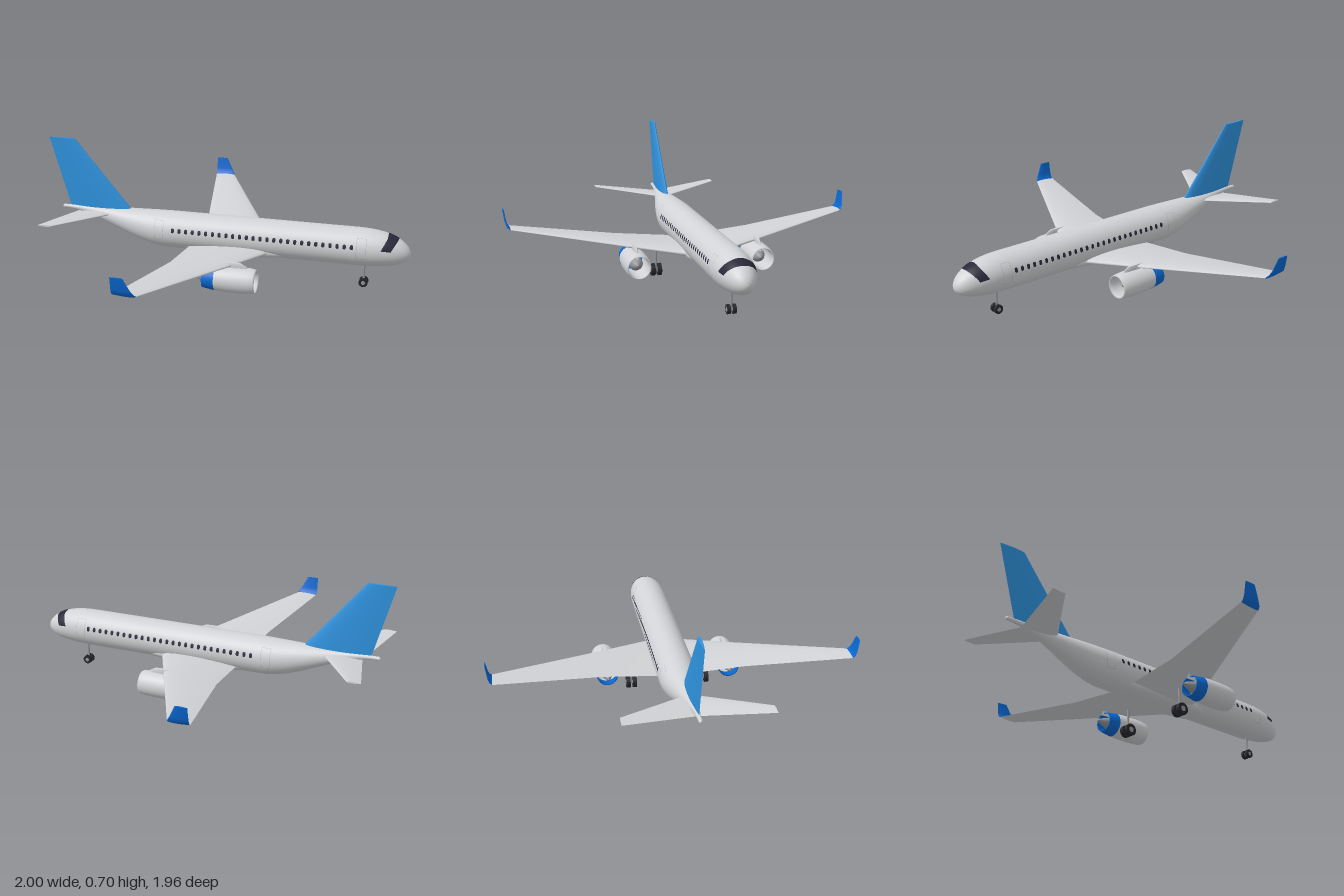
import * as THREE from 'three';
import { mergeGeometries } from 'three/addons/utils/BufferGeometryUtils.js';

const mat = (name, color, side = THREE.FrontSide) => {
  const m = new THREE.MeshStandardMaterial({ color, side });
  m.name = name;
  return m;
};

// Surface from a rule fn(u, v) -> [x, y, z]; it faces along du x dv
function grid(nu, nv, fn, flip = false) {
  const pos = [], idx = [];
  for (let i = 0; i <= nu; i++)
    for (let j = 0; j <= nv; j++) pos.push(...fn(i / nu, j / nv));
  for (let i = 0; i < nu; i++)
    for (let j = 0; j < nv; j++) {
      const a = i * (nv + 1) + j, b = a + nv + 1;
      if (flip) idx.push(a, b + 1, b, a, a + 1, b + 1);
      else idx.push(a, b, b + 1, a, b + 1, a + 1);
    }
  const g = new THREE.BufferGeometry();
  g.setAttribute('position', new THREE.Float32BufferAttribute(pos, 3));
  g.setIndex(idx);
  g.computeVertexNormals();
  return g;
}

// Fuselage rule: radius and centre height along x
function bodyAt(x) {
  if (x > 0.7) {
    const t = Math.min(1, (x - 0.7) / 0.3);
    return { r: 0.101 * Math.sqrt(Math.max(0, 1 - t ** 2.5)), y: 0.2245 - 0.0205 * t ** 3 };
  }
  const t = Math.max(0, (-0.3 - x) / 0.63);
  const r = 0.101 - 0.091 * t * t * (3 - 2 * t);
  return { r, y: 0.3255 - 0.012 * t - r };
}
function skin(x, a, lift = 0) {
  const b = bodyAt(x);
  return [x, b.y + (b.r + lift) * Math.sin(a), (b.r + lift) * Math.cos(a)];
}
// Thin painted patch lying on the fuselage
const patch = (back, front, a0, a1, nu, nv, lift) =>
  grid(nu, nv, (u, v) => {
    const a = a0 + (a1 - a0) * v;
    return skin(back(v, a) * (1 - u) + front(v, a) * u, a, lift);
  });

// Aerofoil loft; section = { te, le, y, z, th, n: [ny, nz] }
function loft(sections, flip = false) {
  const point = (s, v) => {
    const q = 2 * Math.PI * v, c = (1 - Math.cos(q)) / 2;
    const h = 0.65 * s.th * Math.sin(q) * Math.sqrt(c);
    return [s.te + (s.le - s.te) * c, s.y + s.n[0] * h, s.z + s.n[1] * h];
  };
  const n = sections.length - 1, end = sections[n];
  const side = grid(n, 28, (u, v) => point(sections[Math.round(u * n)], v), flip);
  const cap = grid(1, 28, (u, v) => point(u > 0.5 ? { ...end, th: 0 } : end, v), flip);
  return mergeGeometries([side, cap]);
}

// Round part turned about the x axis, points are [radius, x]
const turned = (pts) =>
  new THREE.LatheGeometry(pts.map(([r, x]) => new THREE.Vector2(r, x)), 40).rotateZ(-Math.PI / 2);

export function createModel() {
  const model = new THREE.Group();
  model.name = 'airliner';
  const white = mat('bodyGrey', 0xd2d3d6);
  const finBlue = mat('finBlue', 0x2f94e0);
  const deepBlue = mat('deepBlue', 0x0868d2);
  const glass = mat('darkGlass', 0x28283a);
  const rubber = mat('tyre', 0x26262c);
  const metal = mat('metal', 0x94979c);
  const line = mat('doorLine', 0xaeb2ba);

  const add = (name, geometry, material, parent = model) => {
    const m = new THREE.Mesh(geometry, material);
    m.name = name;
    parent.add(m);
    return m;
  };

  // Fuselage, with closer rings at nose and tail
  add('fuselage', grid(72, 56, (u, v) =>
    skin(0.035 - 0.965 * Math.cos(Math.PI * u), -Math.PI / 2 + 2 * Math.PI * v)), white);
  add('tailCone', new THREE.SphereGeometry(0.01, 16, 12), white)
    .position.set(-0.93, bodyAt(-0.93).y, 0);
  add('bellyFairing', new THREE.SphereGeometry(1, 48, 24).scale(0.4, 0.05, 0.1), white)
    .position.set(0.06, 0.164, 0);

  // Cockpit glass wrapping over the nose
  const rise = (a) => (Math.sin(a) - 0.2) / 0.8;
  add('windscreen', patch((v, a) => 0.85 + 0.03 * Math.min(1, rise(a) * 1.2),
    (v, a) => 0.9 + 0.035 * rise(a), 0.2, Math.PI - 0.2, 6, 40, 0.002), glass);

  // Cabin windows and door outlines
  const cabin = new THREE.Group();
  cabin.name = 'cabinDetails';
  model.add(cabin);
  for (const s of [1, -1]) {
    const span = (a0, a1) => (s > 0 ? [a0, a1] : [Math.PI - a1, Math.PI - a0]);
    for (let i = 0; i < 27; i++) {
      const x = -0.27 + i * 0.0373;
      const half = (v) => 0.0085 * Math.sqrt(Math.max(0, 1 - (2 * v - 1) ** 4));
      add('window', patch((v) => x - half(v), (v) => x + half(v),
        ...span(0.12, 0.39), 1, 8, 0.0015), glass, cabin);
    }
    for (const x of [-0.35, 0.75]) {
      const strip = (x0, x1, a0, a1) =>
        add('doorOutline', patch(() => x0, () => x1, ...span(a0, a1), 4, 12, 0.001), line, cabin);
      for (const e of [-0.025, 0.025]) strip(x + e - 0.001, x + e + 0.001, -0.36, 0.78);
      for (const a of [-0.36, 0.76]) strip(x - 0.025, x + 0.025, a, a + 0.02);
    }
  }

  // Tail fin
  add('tailFin', loft([
    { te: -0.884, le: -0.511, y: 0.29, z: 0, th: 0.036, n: [0, -1] },
    { te: -1, le: -0.85, y: 0.7, z: 0, th: 0.016, n: [0, -1] },
  ]), finBlue);

  for (const s of [1, -1]) {
    const side = new THREE.Group();
    side.name = s > 0 ? 'leftSide' : 'rightSide';
    model.add(side);
    const foil = (z, te, le, y, th, n = [1, 0]) => ({ z: s * z, te, le, y, th, n: [n[0], s * n[1]] });

    // Wing and upturned tip
    const tip = foil(0.947, -0.3, -0.183, 0.246, 0.012);
    add('wing', loft([
      foil(0.03, -0.178, 0.28, 0.16, 0.05),
      foil(0.38, -0.195, 0.103, 0.191, 0.03),
      tip,
    ], s < 0), white, side);
    add('winglet', loft([
      tip,
      foil(0.96, -0.301, -0.19, 0.257, 0.011, [0.75, -0.66]),
      foil(0.968, -0.301, -0.205, 0.281, 0.01, [0.3, -0.95]),
      foil(0.978, -0.3, -0.237, 0.345, 0.007, [0.15, -0.99]),
    ], s < 0), deepBlue, side);

    // Horizontal tail
    add('tailplane', loft([
      foil(0, -0.845, -0.628, 0.284, 0.022),
      foil(0.367, -0.935, -0.862, 0.318, 0.009),
    ], s < 0), white, side);

    // Engine: hollow cowl, nozzle and core
    const engine = new THREE.Group();
    engine.name = 'engine';
    engine.position.set(0, 0.108, s * 0.335);
    side.add(engine);
    add('cowl', turned([[0.064, 0.035], [0.068, 0.09], [0.069, 0.16], [0.067, 0.215], [0.063, 0.242],
      [0.06, 0.25], [0.056, 0.245], [0.054, 0.225], [0.058, 0.16], [0.06, 0.035]]), white, engine);
    add('nozzle', turned([[0.051, -0.03], [0.055, -0.03], [0.065, 0.036],
      [0.061, 0.036], [0.051, -0.03]]), deepBlue, engine);
    add('core', turned([[0, -0.075], [0.014, -0.055], [0.02, -0.035], [0.032, 0], [0.036, 0.08],
      [0.036, 0.16], [0.026, 0.185], [0.013, 0.205], [0, 0.213]]), metal, engine);
    add('pylon', loft([
      { te: -0.05, le: 0.21, y: 0.035, z: 0, th: 0.02, n: [0, -1] },
      { te: -0.03, le: 0.2, y: 0.078, z: 0, th: 0.022, n: [0, -1] },
      { te: 0.02, le: 0.17, y: 0.093, z: 0, th: 0.016, n: [0, -1] },
    ]), white, engine);
  }

  // Landing gear with twin wheels
  function gear(name, x, z, r, width, gap, top) {
    const g = new THREE.Group();
    g.name = name;
    g.position.set(x, r, z);
    model.add(g);
    add('strut', new THREE.CylinderGeometry(0.006, 0.006, top - r, 14), metal, g)
      .position.y = (top - r) / 2;
    add('axle', new THREE.CylinderGeometry(0.005, 0.005, gap * 2, 12).rotateX(Math.PI / 2), metal, g);
    for (const s of [1, -1]) {
      const wheel = (part, radius, w, m) =>
        add(part, new THREE.CylinderGeometry(radius, radius, w, 24).rotateX(Math.PI / 2), m, g)
          .position.z = s * gap;
      wheel('tyre', r, width, rubber);
      wheel('hub', r * 0.45, width + 0.003, metal);
    }
  }
  gear('noseGear', 0.76, 0, 0.024, 0.015, 0.0145, 0.14);
  gear('leftMainGear', 0.03, 0.2, 0.033, 0.021, 0.0175, 0.18);
  gear('rightMainGear', 0.03, -0.2, 0.033, 0.021, 0.0175, 0.18);

  return model;
}
